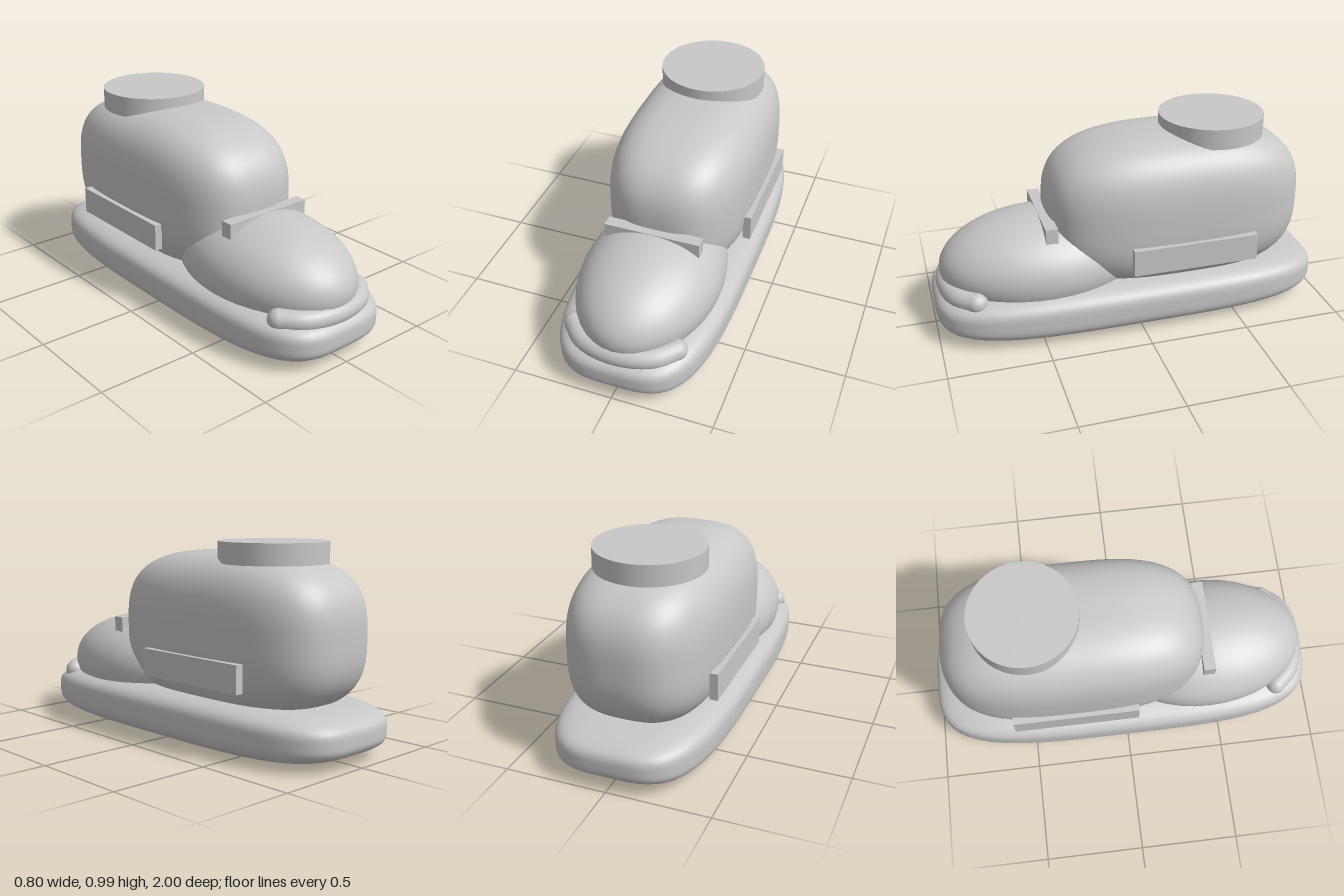
import * as THREE from 'three';

const grey = new THREE.MeshStandardMaterial({ color: 0xc8c8c8 });
grey.name = 'plain grey';

// Rounded block: a box pushed onto a superellipsoid of exponent n
function roundedBlock(rx, ry, rz, n) {
  const geo = new THREE.BoxGeometry(2, 2, 2, 20, 20, 20);
  const pos = geo.attributes.position, nor = geo.attributes.normal;
  const v = new THREE.Vector3(), g = new THREE.Vector3();
  const slope = (t, r) => Math.sign(t) * Math.abs(t) ** (n - 1) / r;
  for (let i = 0; i < pos.count; i++) {
    v.fromBufferAttribute(pos, i);
    const len = (Math.abs(v.x) ** n + Math.abs(v.y) ** n + Math.abs(v.z) ** n) ** (1 / n);
    v.divideScalar(len);
    g.set(slope(v.x, rx), slope(v.y, ry), slope(v.z, rz)).normalize();
    pos.setXYZ(i, v.x * rx, v.y * ry, v.z * rz);
    nor.setXYZ(i, g.x, g.y, g.z);
  }
  return geo;
}

export function createModel() {
  const group = new THREE.Group();
  group.name = 'shoe';

  function add(name, geo, x, y, z) {
    const mesh = new THREE.Mesh(geo, grey);
    mesh.name = name;
    mesh.position.set(x, y, z);
    group.add(mesh);
    return mesh;
  }

  // Sole and main body
  add('sole', roundedBlock(0.4, 0.13, 1, 3.7), 0, 0.13, 0);
  add('upper', roundedBlock(0.357, 0.385, 0.66, 3), 0, 0.55, -0.243);

  // Rounded toe
  add('toeCap', new THREE.SphereGeometry(1, 40, 28).scale(0.345, 0.26, 0.52), 0, 0.3, 0.44);

  // Bumper wrapped round the front of the toe, with rounded ends
  const path = new THREE.CatmullRomCurve3([
    [-0.255, 0.228, 0.81], [-0.17, 0.225, 0.89], [0, 0.225, 0.928],
    [0.17, 0.225, 0.89], [0.255, 0.228, 0.81],
  ].map((p) => new THREE.Vector3(...p)));
  add('toeBumper', new THREE.TubeGeometry(path, 32, 0.053, 16), 0, 0, 0);
  for (const s of [-1, 1]) {
    add('bumperEnd', new THREE.SphereGeometry(0.053, 16, 12), s * 0.255, 0.228, 0.81);
  }

  // Ankle collar
  add('collar', new THREE.CylinderGeometry(0.265, 0.265, 0.103, 40), 0, 0.9355, -0.455);

  // Strap across the instep and a panel on each side
  add('instepStrap', new THREE.BoxGeometry(0.48, 0.08, 0.06), 0, 0.522, 0.428);
  for (const s of [-1, 1]) {
    add(s > 0 ? 'leftPanel' : 'rightPanel', new THREE.BoxGeometry(0.04, 0.135, 0.64), s * 0.358, 0.388, -0.265);
  }
  return group;
}
